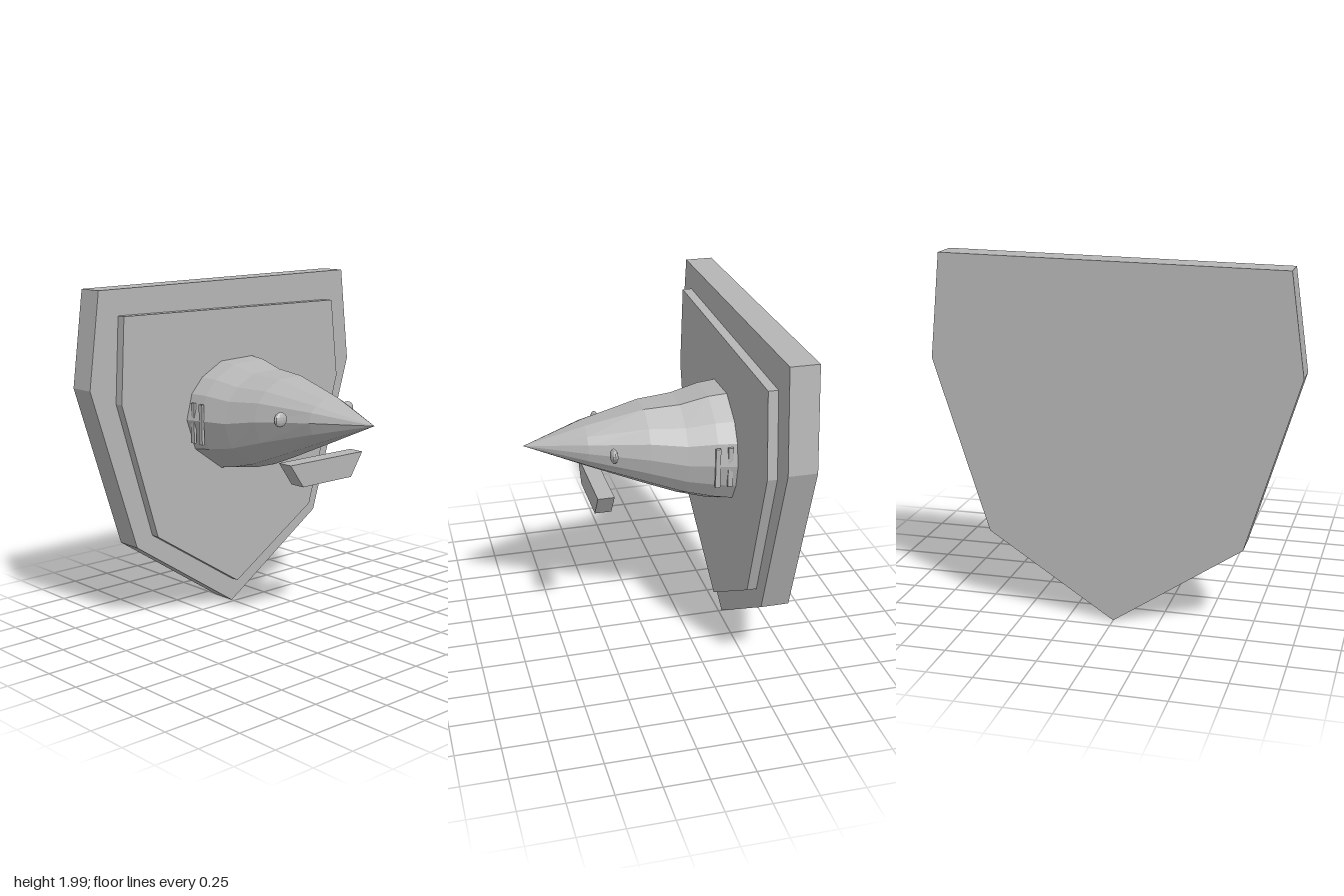
import * as THREE from 'three';

const grey = new THREE.MeshStandardMaterial({ color: 0xb6b6b6, flatShading: true });
grey.name = 'stone grey';

// Flat outline (x, y pairs) pushed from z0 to z1
function slab(name, points, z0, z1) {
  const shape = new THREE.Shape(points.map(([x, y]) => new THREE.Vector2(x, y)));
  const geo = new THREE.ExtrudeGeometry(shape, { depth: z1 - z0, bevelEnabled: false });
  geo.translate(0, 0, z0);
  const mesh = new THREE.Mesh(geo, grey);
  mesh.name = name;
  return mesh;
}

// Faceted head: one irregular ring, shrunk section by section towards the snout tip
function headGeometry() {
  const ring = [
    [0.13, 1.52], [-0.11, 1.51], [-0.255, 1.43], [-0.335, 1.34], [-0.375, 1.19], [-0.315, 1.01],
    [-0.12, 0.87], [0.085, 0.84], [0.29, 0.945], [0.35, 1.05], [0.375, 1.18], [0.35, 1.31], [0.285, 1.415],
  ];
  // z, width factor, lowest y, highest y
  const sections = [
    [-0.47, 1, 0.84, 1.52], [-0.36, 0.95, 0.86, 1.51], [-0.2, 0.84, 0.905, 1.47],
    [0, 0.7, 0.985, 1.455], [0.33, 0.42, 1.123, 1.375], [0.67, 0, 1.265, 1.265],
  ];
  const n = ring.length;
  const pos = [];
  const idx = [];
  for (const [z, w, low, high] of sections) {
    for (const [x, y] of ring) pos.push(x * w, low + ((y - 0.84) / 0.68) * (high - low), z);
  }
  for (let s = 0; s < sections.length - 1; s++) {
    for (let i = 0; i < n; i++) {
      const j = (i + 1) % n;
      const a = s * n + i, b = s * n + j, c = a + n, d = b + n;
      idx.push(a, b, c);
      if (s < sections.length - 2) idx.push(b, d, c);
    }
  }
  const geo = new THREE.BufferGeometry();
  geo.setAttribute('position', new THREE.Float32BufferAttribute(pos, 3));
  geo.setIndex(idx);
  const flat = geo.toNonIndexed();
  flat.computeVertexNormals();
  return flat;
}

export function createModel() {
  const model = new THREE.Group();
  model.name = 'wallTrophy';

  // Mounting board and raised inner panel
  model.add(slab('backBoard', [
    [0, 0], [0.7, 0.46], [1, 1.42], [0.94, 1.99], [-0.925, 1.965], [-1, 1.42], [-0.71, 0.475],
  ], -0.68, -0.52));
  model.add(slab('innerPanel', [
    [0, 0.14], [0.61, 0.525], [0.85, 1.33], [0.8, 1.81], [-0.8, 1.82], [-0.83, 1.33], [-0.6, 0.53],
  ], -0.52, -0.465));

  // Head
  const head = new THREE.Mesh(headGeometry(), grey);
  head.name = 'head';
  model.add(head);

  // Separate jaw block below the snout
  model.add(slab('jaw', [
    [-0.18, 0.895], [0.195, 0.895], [0.285, 1.03], [-0.275, 1.03],
  ], 0.215, 0.31));

  // Eyes and gill bars on both sides
  for (const [side, label] of [[1, 'left'], [-1, 'right']]) {
    const eye = new THREE.Mesh(new THREE.SphereGeometry(1, 12, 8), grey);
    eye.name = label + 'Eye';
    eye.scale.set(0.045, 0.042, 0.022);
    eye.position.set(side * 0.26, 1.27, 0.21);
    model.add(eye);

    for (const z of [-0.355, -0.427]) {
      const gill = new THREE.Mesh(new THREE.BoxGeometry(0.016, 0.235, 0.028), grey);
      gill.name = label + 'Gill';
      gill.position.set(side * 0.355, 1.175, z);
      model.add(gill);
    }
  }
  return model;
}
